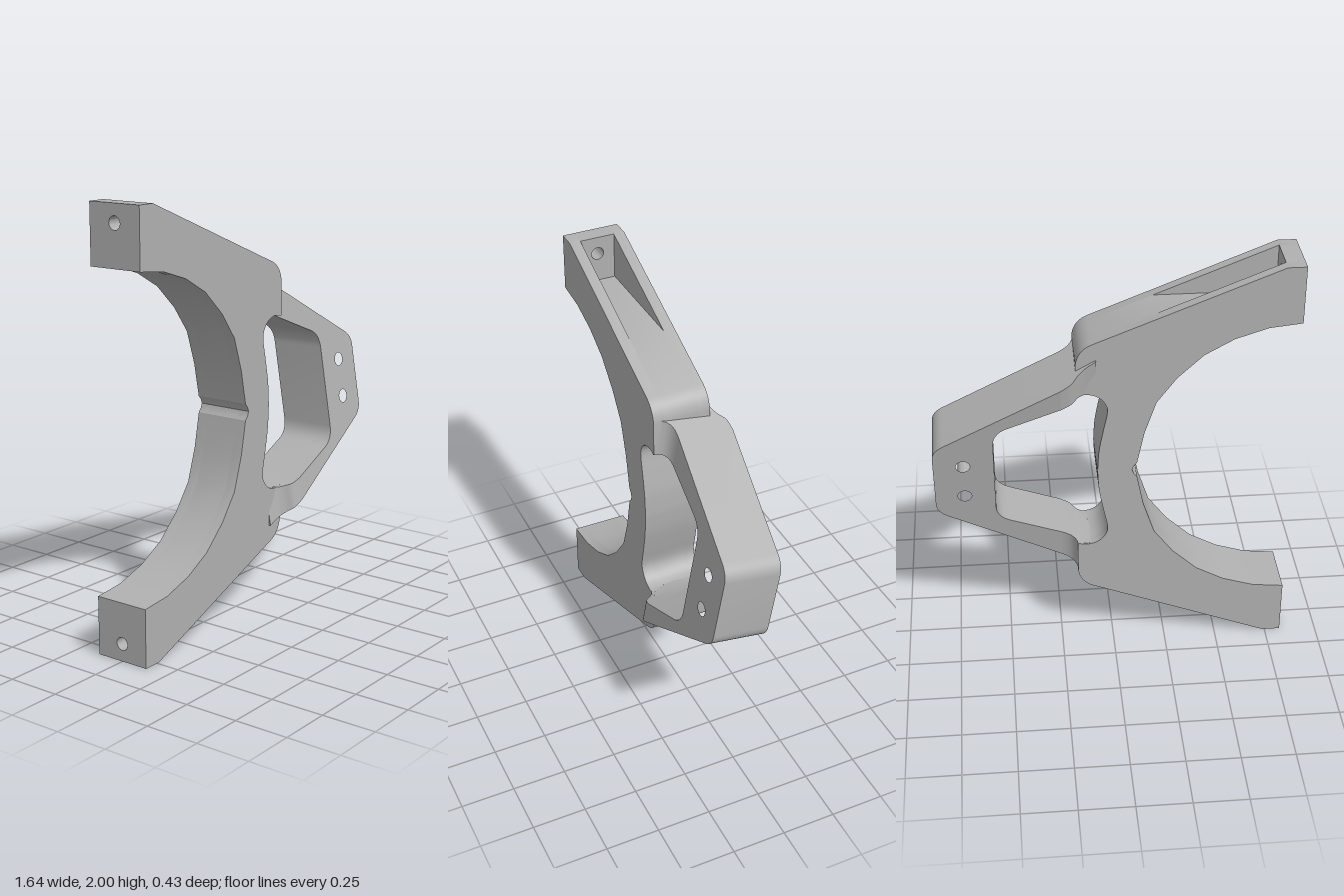
import * as THREE from 'three';
import { toCreasedNormals } from 'three/addons/utils/BufferGeometryUtils.js';

const HALF = 0.135;    // half thickness of both bodies
const POCKET = 0.083;  // half width of the arm pockets
const TILT = 0.16;     // lean of the right-hand frame, radians

const v = (x, y) => new THREE.Vector2(x, y);
const pts = (list) => list.map(([x, y]) => v(x, y));
const spline = (list, n = 24) => new THREE.SplineCurve(pts(list)).getPoints(n);
const round = (a, b, c, n = 8) => new THREE.QuadraticBezierCurve(v(...a), v(...b), v(...c)).getPoints(n);
// Close an upper half outline with its reflection below y = 0
const mirrored = (half) => new THREE.Shape([...half,
  ...half.filter((p) => p.y > 1e-4).reverse().map((p) => v(p.x, -p.y))]);
const extrude = (shape, depth) =>
  new THREE.ExtrudeGeometry(shape, { depth, bevelEnabled: false, curveSegments: 20 });

function circleHole(x, y, r) {
  const path = new THREE.Path();
  path.absarc(x, y, r, 0, Math.PI * 2, true);
  return path;
}

// Move every vertex by a rule that returns [x, y, z]
function remap(geometry, rule) {
  const p = geometry.attributes.position;
  for (let i = 0; i < p.count; i++) p.setXYZ(i, ...rule(p.getX(i), p.getY(i), p.getZ(i)));
  return geometry;
}

// Leaning position; window edges are cut straight along z instead
function lean(x, y, z, straight) {
  const c = Math.cos(TILT), s = Math.sin(TILT);
  return straight
    ? [x, y, -Math.tan(TILT) * y + z / c]
    : [x, y * c + z * s, -y * s + z * c];
}
const outerEdge = (x) => 0.535 - 0.558 * (x - 0.2);
const innerEdge = (x) => Math.min(0.412, 0.395 - 0.4 * (x - 0.2));

// C-shaped yoke outline, with or without the arm pockets
function yokeShape(pocketed) {
  const arc = pts([[-0.083, 0], [-0.09, 0.02], [-0.106, 0.039], [-0.138, 0.198], [-0.19, 0.357],
    [-0.28, 0.479], [-0.397, 0.59], [-0.529, 0.664], [-0.677, 0.712], [-0.825, 0.728]]);
  const top = pocketed
    ? pts([[-0.825, 0.78], [-0.19, 0.78]])
    : pts([[-0.825, 1], [-0.74, 1]]);
  const shoulder = round([0.1, 0.664], [0.16, 0.638], [0.17, 0.57]);
  const web = spline([[0.17, 0.407], [0.12, 0.413], [0.07, 0.396], [0.036, 0.355],
    [0.03, 0.31], [0.047, 0.225], [0.068, 0.11], [0.075, 0]]);
  return mirrored([...arc, ...top, ...shoulder, ...web]);
}

export function createModel() {
  const grey = new THREE.MeshStandardMaterial({ color: 0xb0b0b0 });
  grey.name = 'grey';
  const model = new THREE.Group();
  model.name = 'bracket';
  model.position.y = 1;
  const root = new THREE.Group();
  root.add(model);

  const add = (name, geometry) => {
    const mesh = new THREE.Mesh(toCreasedNormals(geometry, 0.5), grey);
    mesh.name = name;
    model.add(mesh);
    return mesh;
  };

  // Yoke: two full cheeks around a pocketed core
  const cheek = HALF - POCKET;
  add('yokeFrontCheek', extrude(yokeShape(false), cheek).translate(0, 0, POCKET));
  add('yokeBackCheek', extrude(yokeShape(false), cheek).translate(0, 0, -HALF));
  add('yokeCore', extrude(yokeShape(true), POCKET * 2).translate(0, 0, -POCKET));

  // Drilled end walls that close the pockets
  for (const side of [1, -1]) {
    const wall = new THREE.Shape(pts([[-POCKET, 0.78], [POCKET, 0.78], [POCKET, 1], [-POCKET, 1]]));
    wall.holes.push(circleHole(0, 0.918, 0.03));
    const mesh = add(side > 0 ? 'upperEndWall' : 'lowerEndWall',
      extrude(wall, 0.085).rotateY(Math.PI / 2).translate(-0.825, 0, 0));
    if (side < 0) mesh.rotation.x = Math.PI;
  }

  // Leaning frame: two arms meeting at a drilled nose
  const x0 = 0.24;
  const outer = [v(x0, outerEdge(x0)), ...round([0.77, outerEdge(0.77)], [0.82, 0.189], [0.82, 0.14])];
  const inner = [...round([0.545, 0.19], [0.545, innerEdge(0.545)], [0.48, innerEdge(0.48)]),
    v(x0, innerEdge(x0))];
  const below = (list) => [...list].reverse().map((p) => v(p.x, -p.y));
  const frame = new THREE.Shape([...outer, ...below(outer), ...below(inner), ...inner]);
  for (const y of [0.092, -0.092]) frame.holes.push(circleHole(0.685, y, 0.032));
  const isWindow = (x, y) => x < 0.56 && Math.abs(y) < 0.46 - 0.467 * (x - 0.2);
  add('leaningFrame', remap(extrude(frame, HALF * 2),
    (x, y, z) => lean(x, y, z - HALF, isWindow(x, y))));

  // Curved roots blending the arms into the yoke
  const back = spline([[0.08, -0.05], [0.13, -0.064], [0.165, -0.09], [0.193, -0.122], [x0, -HALF]], 16);
  const front = round([x0, HALF], [0.172, 0.137], [0.168, 0.2]);
  const profile = [...back, ...front, v(0.1, 0.19), v(0.09, 0.05)];
  for (const side of [1, -1]) {
    const shape = new THREE.Shape(profile.map((p) => v(p.x, -p.y)));
    const mesh = add(side > 0 ? 'upperArmRoot' : 'lowerArmRoot', remap(extrude(shape, 1),
      (x, s, t) => lean(x, t > 0.5 ? outerEdge(x) : innerEdge(x), -s, t < 0.5)));
    if (side < 0) mesh.rotation.x = Math.PI;
  }
  return root;
}
